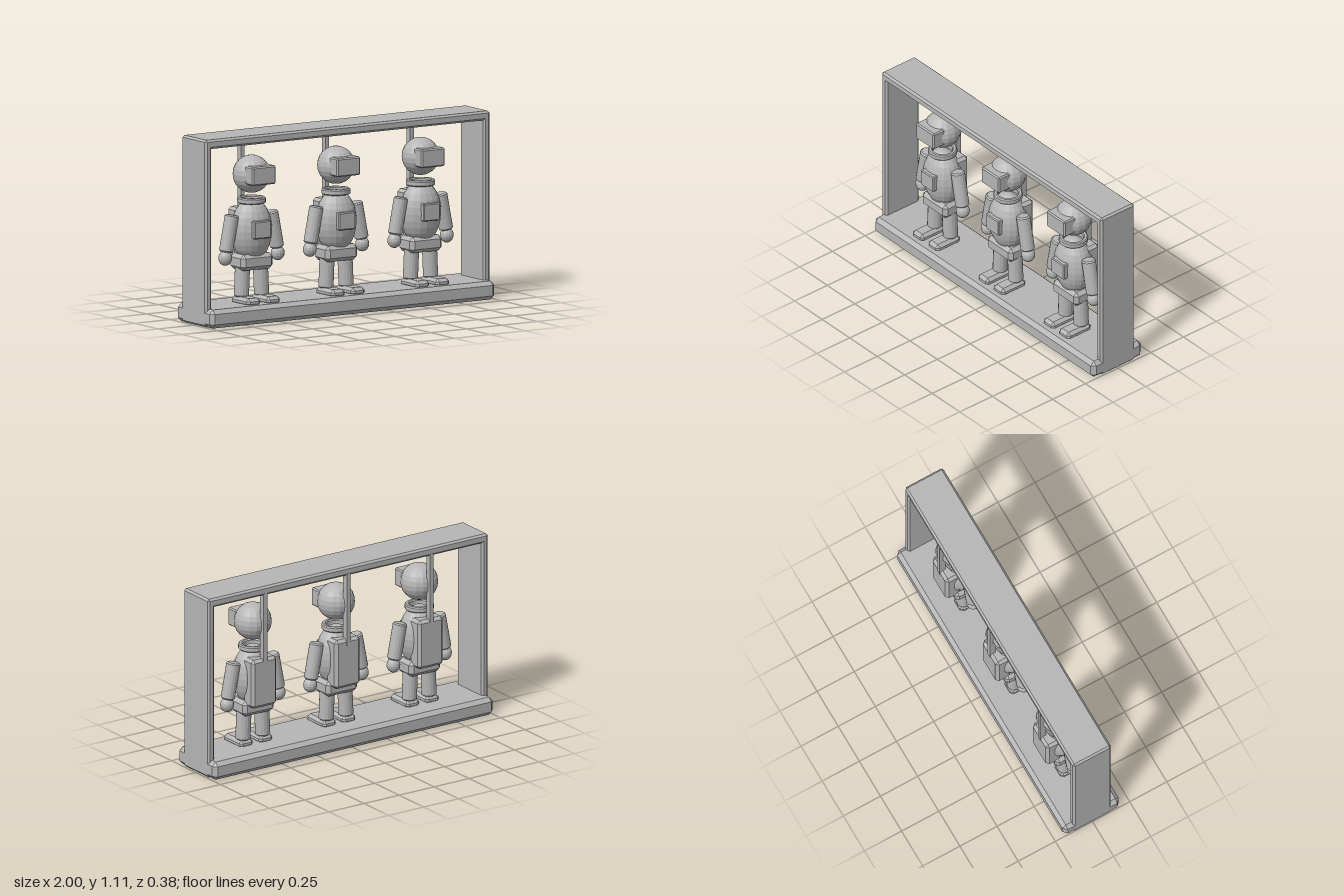
import * as THREE from 'three';
import { ConvexGeometry } from 'three/addons/geometries/ConvexGeometry.js';

const grey = new THREE.MeshStandardMaterial({ color: 0xb6b6b6, flatShading: true });
grey.name = 'plain grey';

function add(parent, name, geometry, x = 0, y = 0, z = 0) {
  const mesh = new THREE.Mesh(geometry, grey);
  mesh.name = name;
  mesh.position.set(x, y, z);
  parent.add(mesh);
  return mesh;
}

// Box from its min and max corners, with every edge chamfered by c
function chamferBox(parent, name, min, max, c) {
  const half = min.map((v, i) => (max[i] - v) / 2);
  const points = [];
  for (const sx of [-1, 1]) for (const sy of [-1, 1]) for (const sz of [-1, 1]) {
    for (let out = 0; out < 3; out++) {
      const p = half.map((h, i) => (i === out ? h : h - c));
      points.push(new THREE.Vector3(sx * p[0], sy * p[1], sz * p[2]));
    }
  }
  const mid = min.map((v, i) => (max[i] + v) / 2);
  return add(parent, name, new ConvexGeometry(points), ...mid);
}

// Solid limb between two points, with bevelled ends
function limb(parent, name, from, to, r) {
  const a = new THREE.Vector3(...from), b = new THREE.Vector3(...to);
  const h = a.distanceTo(b) / 2, c = 0.008;
  const profile = [[0, -h], [r - c, -h], [r, -h + c], [r, h - c], [r - c, h], [0, h]]
    .map(([x, y]) => new THREE.Vector2(x, y));
  const mesh = add(parent, name, new THREE.LatheGeometry(profile, 16));
  mesh.position.copy(a).add(b).multiplyScalar(0.5);
  mesh.quaternion.setFromUnitVectors(new THREE.Vector3(0, 1, 0), b.sub(a).normalize());
  return mesh;
}

function createFigure() {
  const figure = new THREE.Group();
  figure.name = 'figure';

  // Helmet and visor
  add(figure, 'helmet', new THREE.SphereGeometry(0.112, 16, 12), 0, 0.862, 0);
  chamferBox(figure, 'visor', [-0.082, 0.812, 0.05], [0.082, 0.922, 0.138], 0.008);

  // Open collar ring
  const ring = [[0.06, 0.69], [0.08, 0.69], [0.086, 0.696], [0.086, 0.718], [0.08, 0.725],
    [0.066, 0.725], [0.06, 0.718], [0.06, 0.69]].map(([x, y]) => new THREE.Vector2(x, y));
  add(figure, 'collar', new THREE.LatheGeometry(ring, 20));

  // Torso, chest panel and pelvis
  add(figure, 'torso', new THREE.SphereGeometry(1, 18, 14), 0, 0.53, 0).scale.set(0.128, 0.187, 0.108);
  chamferBox(figure, 'chestPanel', [-0.058, 0.492, 0.05], [0.058, 0.596, 0.122], 0.006);
  chamferBox(figure, 'pelvis', [-0.112, 0.3, -0.075], [0.112, 0.395, 0.075], 0.022);

  // Backpack and the bar that hangs the figure from the frame
  chamferBox(figure, 'backpack', [-0.09, 0.36, -0.127], [0.09, 0.662, -0.025], 0.018);
  add(figure, 'supportBar', new THREE.BoxGeometry(0.026, 0.45, 0.038), 0, 0.845, -0.11);

  for (const s of [-1, 1]) {
    const side = s > 0 ? 'left' : 'right';
    // Arm and hand
    limb(figure, side + 'Arm', [s * 0.18, 0.412, 0], [s * 0.137, 0.63, 0], 0.042);
    add(figure, side + 'Hand', new THREE.SphereGeometry(0.041, 14, 10), s * 0.184, 0.378, 0)
      .scale.set(1, 1.1, 1);
    // Leg and boot
    limb(figure, side + 'Leg', [s * 0.071, 0.14, 0], [s * 0.062, 0.34, 0], 0.045);
    chamferBox(figure, side + 'Boot', [s * 0.07 - 0.048, 0.095, -0.045], [s * 0.07 + 0.048, 0.146, 0.139], 0.018);
  }
  return figure;
}

export function createModel() {
  const model = new THREE.Group();
  model.name = 'figureDisplay';

  // Frame
  chamferBox(model, 'base', [-1, 0, -0.19], [1, 0.11, 0.19], 0.024);
  chamferBox(model, 'topBar', [-1, 1.055, -0.128], [1, 1.11, 0.128], 0.012);
  for (const s of [-1, 1]) {
    chamferBox(model, s > 0 ? 'leftPost' : 'rightPost',
      [s * 0.977 - 0.023, 0.002, -0.128], [s * 0.977 + 0.023, 1.108, 0.128], 0.012);
  }

  // Row of three identical figures
  for (const x of [-0.594, 0, 0.594]) {
    const figure = createFigure();
    figure.position.x = x;
    model.add(figure);
  }
  return model;
}
